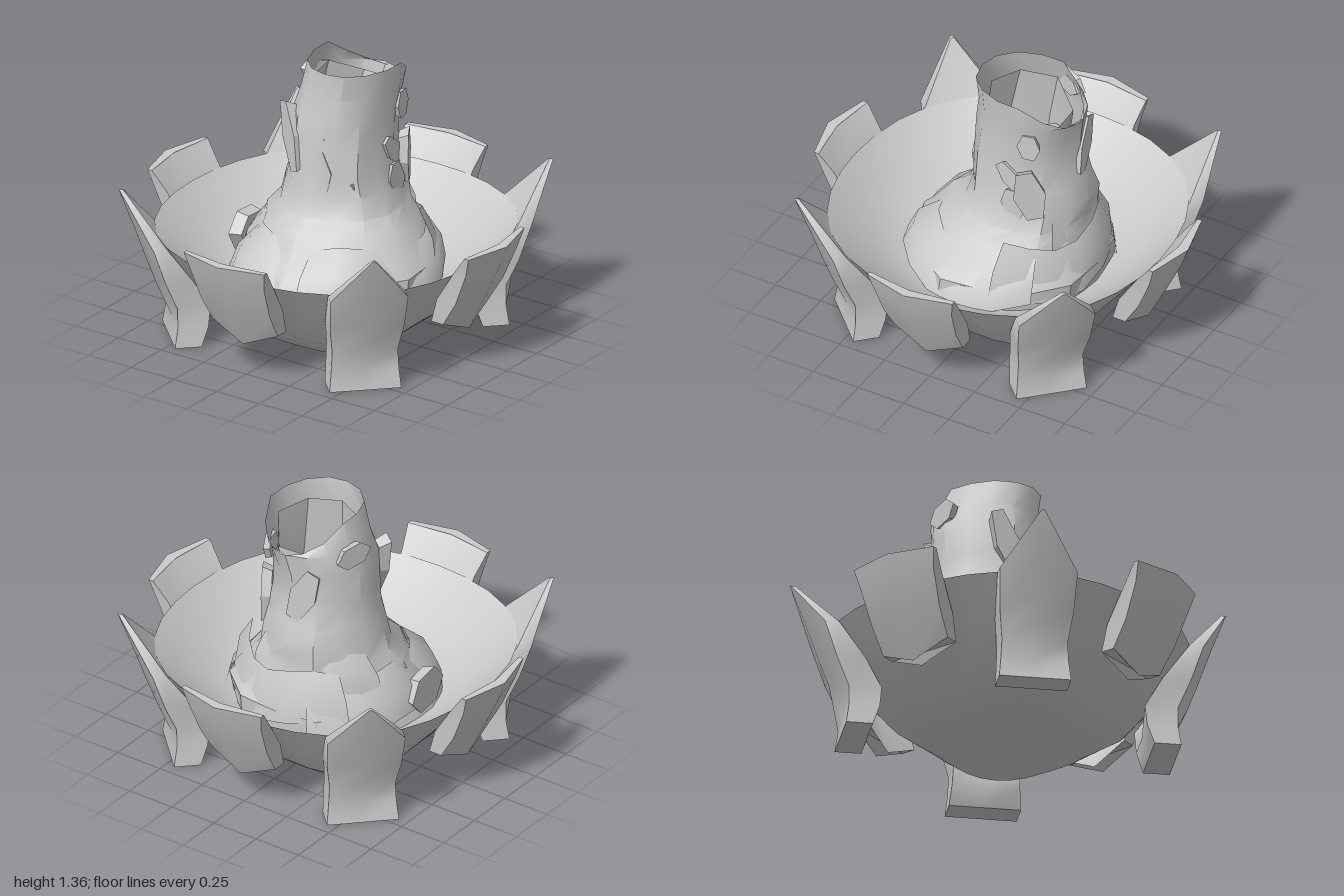
import * as THREE from 'three';
import { toCreasedNormals } from 'three/addons/utils/BufferGeometryUtils.js';

const material = new THREE.MeshStandardMaterial({ color: 0xcccccc, side: THREE.DoubleSide });

// Skin a stack of cross-sections (bottom to top), optionally closed round and capped.
function loft(rows, { closed = true, capped = false, crease = 0.7 } = {}) {
  const pos = [];
  const tri = (...pts) => pts.forEach((p) => pos.push(...p));
  const n = rows[0].length;
  for (let i = 0; i < rows.length - 1; i++) {
    for (let j = 0; j < (closed ? n : n - 1); j++) {
      const k = (j + 1) % n;
      const a = rows[i][j], b = rows[i][k], c = rows[i + 1][k], d = rows[i + 1][j];
      tri(a, b, c);
      tri(a, c, d);
    }
  }
  if (capped) {
    const mid = (r) => [0, 1, 2].map((q) => r.reduce((s, p) => s + p[q], 0) / n);
    const lo = rows[0], hi = rows[rows.length - 1], ml = mid(lo), mh = mid(hi);
    for (let j = 0; j < n; j++) {
      const k = (j + 1) % n;
      tri(ml, lo[k], lo[j]);
      tri(mh, hi[j], hi[k]);
    }
  }
  const g = new THREE.BufferGeometry();
  g.setAttribute('position', new THREE.Float32BufferAttribute(pos, 3));
  return toCreasedNormals(g, crease);
}

function add(parent, name, geometry) {
  const mesh = new THREE.Mesh(geometry, material);
  mesh.name = name;
  parent.add(mesh);
  return mesh;
}

// Ridged slab facing +z; row = [halfWidth, ridgeY, ridgeZ, sideY, sideZ, thickness]
const slab = (rows) => loft(rows.map(([w, yc, rc, ys, rs, t]) => [
  [-w, ys, rs], [0, yc, rc], [w, ys, rs],
  [w, ys, rs - t], [0, yc, rc - t], [-w, ys, rs - t],
]), { capped: true, crease: 0.8 });

// Uneven ring; the angular pattern drifts with height for a twisted look
function ring(y, cx, cz, rx, rz, { n = 14, wobble = 0.05, twist = 0, slope = 0 } = {}) {
  return Array.from({ length: n }, (_, i) => {
    const a = (i / n) * Math.PI * 2 + twist;
    const f = 1 + wobble * Math.sin(3 * a + y * 9) * Math.cos(2 * a - y * 5);
    const z = cz + rz * f * Math.cos(a);
    return [cx + rx * f * Math.sin(a), y - slope * Math.max(0, -0.2 - z), z];
  });
}

// Curled open sheet wrapping the base of the column
function curl(a0, a1, r0, r1, y0, y1) {
  const row = (y, shrink, cz) => Array.from({ length: 7 }, (_, i) => {
    const t = i / 6, a = a0 + (a1 - a0) * t;
    const r = (r0 + (r1 - r0) * t) * shrink;
    return [r * Math.sin(a), y + 0.04 * Math.sin(t * 7 + a0), cz + r * Math.cos(a)];
  });
  return loft([row(y0, 1, 0), row((y0 + y1) / 2, 0.94, -0.02), row(y1, 0.76, -0.06)], { closed: false });
}

export function createModel() {
  const model = new THREE.Group();

  // Bowl: fluted underside up to the rim, then back down the inside
  const bowl = new THREE.Group();
  bowl.name = 'bowl';
  model.add(bowl);
  const bowlRing = (r, y, flute = 0) => Array.from({ length: 32 }, (_, i) => {
    const a = (i / 32) * Math.PI * 2;
    const rr = r * (1 - flute * Math.cos(4 * a));
    return [rr * Math.sin(a), y, rr * Math.cos(a)];
  });
  add(bowl, 'bowlOuter', loft([
    bowlRing(0.001, 0.015), bowlRing(0.36, 0.005, 0.06), bowlRing(0.54, 0.13, 0.09),
    bowlRing(0.69, 0.3, 0.06), bowlRing(0.86, 0.53, 0.02),
  ], { crease: 0.9 }));
  add(bowl, 'bowlInner', loft([
    bowlRing(0.86, 0.53, 0.02), bowlRing(0.79, 0.47, 0.01), bowlRing(0.64, 0.35),
    bowlRing(0.47, 0.26), bowlRing(0.001, 0.22),
  ], { crease: 0.9 }));

  // Four side plates and four diagonal legs, growing thin towards their tips
  const plate = slab([
    [0.19, 0.17, 0.78, 0.25, 0.76, 0.07],
    [0.2, 0.38, 0.885, 0.38, 0.84, 0.11],
    [0.215, 0.55, 0.965, 0.55, 0.91, 0.07],
    [0.235, 0.65, 1.0, 0.65, 0.94, 0.025],
  ]);
  const leg = slab([
    [0.175, 0, 0.815, 0, 0.815, 0.13],
    [0.165, 0.1, 0.8, 0.1, 0.8, 0.15],
    [0.16, 0.26, 0.87, 0.2, 0.8, 0.16],
    [0.18, 0.38, 0.915, 0.34, 0.86, 0.14],
    [0.19, 0.58, 0.985, 0.52, 0.92, 0.07],
    [0.01, 0.78, 1.06, 0.775, 1.055, 0.02],
  ]);
  for (let i = 0; i < 4; i++) {
    add(model, 'sidePlate', plate).rotation.y = (i * Math.PI) / 2;
    add(model, 'leg', leg).rotation.y = ((i + 0.5) * Math.PI) / 2;
  }

  // Hollow twisted column with a terraced foot and a slanted top
  const column = new THREE.Group();
  column.name = 'column';
  model.add(column);
  add(column, 'columnOuter', loft([
    ring(0.25, 0, 0, 0.5, 0.5, { wobble: 0.06 }),
    ring(0.38, 0, -0.02, 0.48, 0.48, { wobble: 0.07 }),
    ring(0.44, 0, -0.04, 0.42, 0.43, { wobble: 0.08 }),
    ring(0.55, -0.02, -0.08, 0.37, 0.37, { wobble: 0.08 }),
    ring(0.62, -0.02, -0.11, 0.31, 0.32, { wobble: 0.07 }),
    ring(0.72, -0.03, -0.12, 0.29, 0.31, { wobble: 0.06 }),
    ring(0.82, -0.03, -0.11, 0.26, 0.29),
    ring(0.95, -0.03, -0.11, 0.25, 0.27),
    ring(1.1, -0.02, -0.12, 0.245, 0.27),
    ring(1.22, 0, -0.14, 0.235, 0.27, { wobble: 0.03 }),
    ring(1.355, 0.025, -0.14, 0.22, 0.27, { wobble: 0.02, slope: 0.7 }),
  ], { crease: 0.6 }));
  add(column, 'columnLining', loft([
    ring(0.6, 0, -0.1, 0.22, 0.22, { n: 7, twist: 0.4 }),
    ring(1.0, 0, -0.11, 0.2, 0.22, { n: 7, twist: 0.2 }),
    ring(1.27, 0.02, -0.13, 0.19, 0.22, { n: 7, slope: 0.6 }),
  ], { crease: 0.3 }));

  // Sheets curling round the foot of the column
  [
    [0.2, 2.3, 0.5, 0.53, 0.3, 0.5],
    [1.9, 3.9, 0.5, 0.51, 0.32, 0.58],
    [3.5, 5.3, 0.53, 0.48, 0.3, 0.54],
    [4.9, 6.7, 0.52, 0.5, 0.28, 0.5],
    [2.6, 4.3, 0.43, 0.45, 0.46, 0.68],
  ].forEach((c) => add(column, 'baseCurl', curl(...c)));

  // Thin six-sided shards: x, y, z, yaw, tilt, width, height, depth
  const hexagon = new THREE.CylinderGeometry(0.42, 0.5, 1, 6).rotateZ(Math.PI / 2).rotateY(-Math.PI / 2);
  const shardGeometry = toCreasedNormals(hexagon, 0.4);
  [
    [-0.17, 0.98, 0.11, -0.5, 0.35, 0.13, 0.4, 0.06],
    [0.0, 0.84, 0.14, 0, 0.1, 0.16, 0.26, 0.03],
    [-0.01, 0.97, 0.135, 0, -0.4, 0.08, 0.14, 0.02],
    [0.225, 0.91, -0.15, 1.57, 0.7, 0.1, 0.22, 0.03],
    [0.23, 0.77, -0.17, 1.57, 0.1, 0.14, 0.18, 0.03],
    [0.21, 1.12, -0.24, 1.75, 0, 0.12, 0.16, 0.03],
    [0.225, 0.85, -0.25, 2.1, 0.2, 0.16, 0.32, 0.05],
    [-0.24, 1.2, -0.2, -1.9, 0.2, 0.2, 0.13, 0.04],
    [-0.08, 1.0, -0.37, 3.3, -0.4, 0.14, 0.34, 0.04],
    [-0.47, 0.4, 0.06, -1.5, 0.1, 0.28, 0.22, 0.06],
  ].forEach(([x, y, z, yaw, tilt, w, h, d]) => {
    const shard = add(column, 'shard', shardGeometry);
    shard.position.set(x, y, z);
    shard.rotation.set(0, yaw, tilt, 'YXZ');
    shard.scale.set(w, h, d);
  });

  // Tilted slabs seen down the hollow
  [[0, 0.8, -0.08, 0.3, 0.2], [-0.06, 1.0, -0.22, -0.4, 0.5], [0.04, 0.92, -0.1, 0.5, -0.3]].forEach(([x, y, z, rx, rz], i) => {
    const innerSlab = add(column, 'innerSlab', new THREE.BoxGeometry(i ? 0.2 : 0.34, 0.03, i ? 0.14 : 0.34));
    innerSlab.position.set(x, y, z);
    innerSlab.rotation.set(rx, i, rz);
  });

  return model;
}
